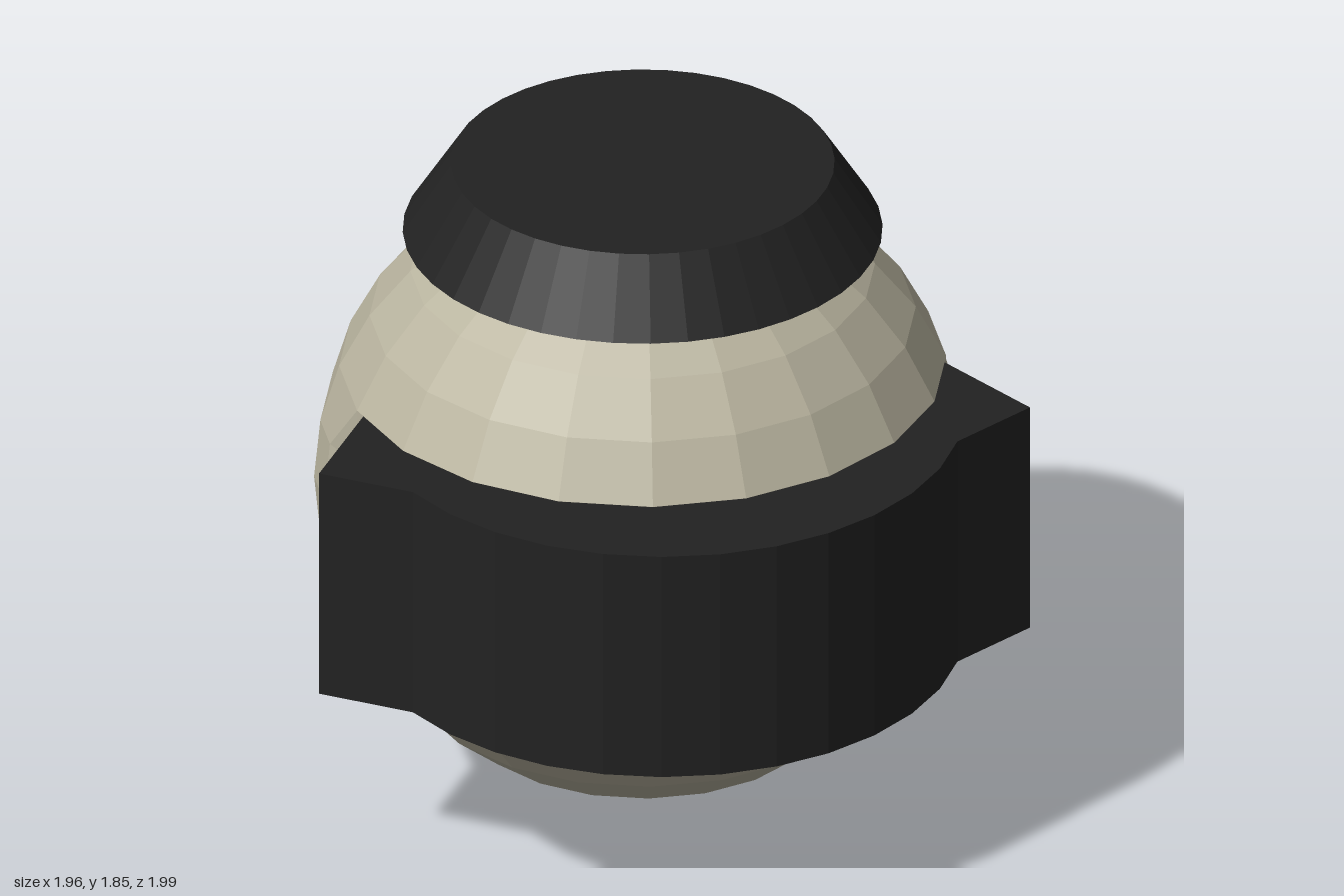
import * as THREE from 'three';

const CENTER_Y = 0.89, CENTER_Z = -0.115, RADIUS = 0.89;
const VISOR_BOTTOM = 0.55, VISOR_TOP = 1.23;

// Give every face its own normal
function faceted(geometry) {
  const flat = geometry.toNonIndexed();
  flat.computeVertexNormals();
  return flat;
}

// Ball of 20 x 16 faces, pulled in to a straight band behind the visor
function headGeometry() {
  const sides = 20, rings = 16, half = Math.PI / sides;
  const angles = [];
  for (let k = 0; k < sides; k++) {
    if (k % (sides / 2) === 0) angles.push(k * 2 * half); // seam between front and back
    angles.push((2 * k + 1) * half);
  }
  const n = angles.length, positions = [], index = [];
  const bandRadius = RADIUS * Math.cos(Math.PI / 8);
  for (let i = 0; i <= rings; i++) {
    const lat = -Math.PI / 2 + (i * Math.PI) / rings;
    const ringRadius = RADIUS * Math.cos(lat);
    angles.forEach((a, j) => {
      const seam = j % (n / 2) === 0;
      const front = j < n / 2 && !seam;
      let r = ringRadius;
      if (seam) r *= Math.cos(half);
      else if (front) r = Math.min(r, bandRadius);
      positions.push(r * Math.cos(a), RADIUS * Math.sin(lat), r * Math.sin(a));
    });
  }
  for (let i = 0; i < rings; i++) {
    for (let j = 0; j < n; j++) {
      const a = i * n + j, b = i * n + ((j + 1) % n);
      if (i > 0) index.push(a, a + n, b);
      if (i < rings - 1) index.push(b, a + n, b + n);
      else index.push(a, a + n, b);
    }
  }
  const geometry = new THREE.BufferGeometry();
  geometry.setAttribute('position', new THREE.Float32BufferAttribute(positions, 3));
  geometry.setIndex(index);
  return faceted(geometry);
}

// Curved front with a pointed wing at each side, extruded upwards
function visorGeometry() {
  const arcRadius = 0.8125, arcZ = 0.18, step = Math.PI / 16;
  const outline = [[-0.8, 0.045], [-0.98, 0.34]];
  for (let k = -6; k <= 6; k++) {
    outline.push([arcRadius * Math.sin(k * step), arcZ + arcRadius * Math.cos(k * step)]);
  }
  outline.push([0.98, 0.34], [0.8, 0.045]);
  const shape = new THREE.Shape(outline.map(([x, z]) => new THREE.Vector2(x, -z)));
  const geometry = new THREE.ExtrudeGeometry(shape, {
    depth: VISOR_TOP - VISOR_BOTTOM, bevelEnabled: false,
  });
  geometry.rotateX(-Math.PI / 2);
  geometry.translate(0, VISOR_BOTTOM, 0);
  return geometry;
}

// Flat-topped cap with flared rim and shallow underside
function capGeometry() {
  const profile = [[0, 1.62], [0.48, 1.62], [0.65, 1.64], [0.52, 1.845], [0, 1.845]];
  return faceted(new THREE.LatheGeometry(profile.map(([r, y]) => new THREE.Vector2(r, y)), 40));
}

export function createModel() {
  const beige = new THREE.MeshStandardMaterial({ color: 0xbab5a0 });
  beige.name = 'warm beige';
  const black = new THREE.MeshStandardMaterial({ color: 0x222222 });
  black.name = 'soft black';

  const model = new THREE.Group();
  model.name = 'visoredHead';
  const add = (name, geometry, material) => {
    const mesh = new THREE.Mesh(geometry, material);
    mesh.name = name;
    model.add(mesh);
    return mesh;
  };

  add('head', headGeometry(), beige).position.set(0, CENTER_Y, CENTER_Z);
  add('visor', visorGeometry(), black);
  add('cap', capGeometry(), black).position.z = CENTER_Z;
  return model;
}
